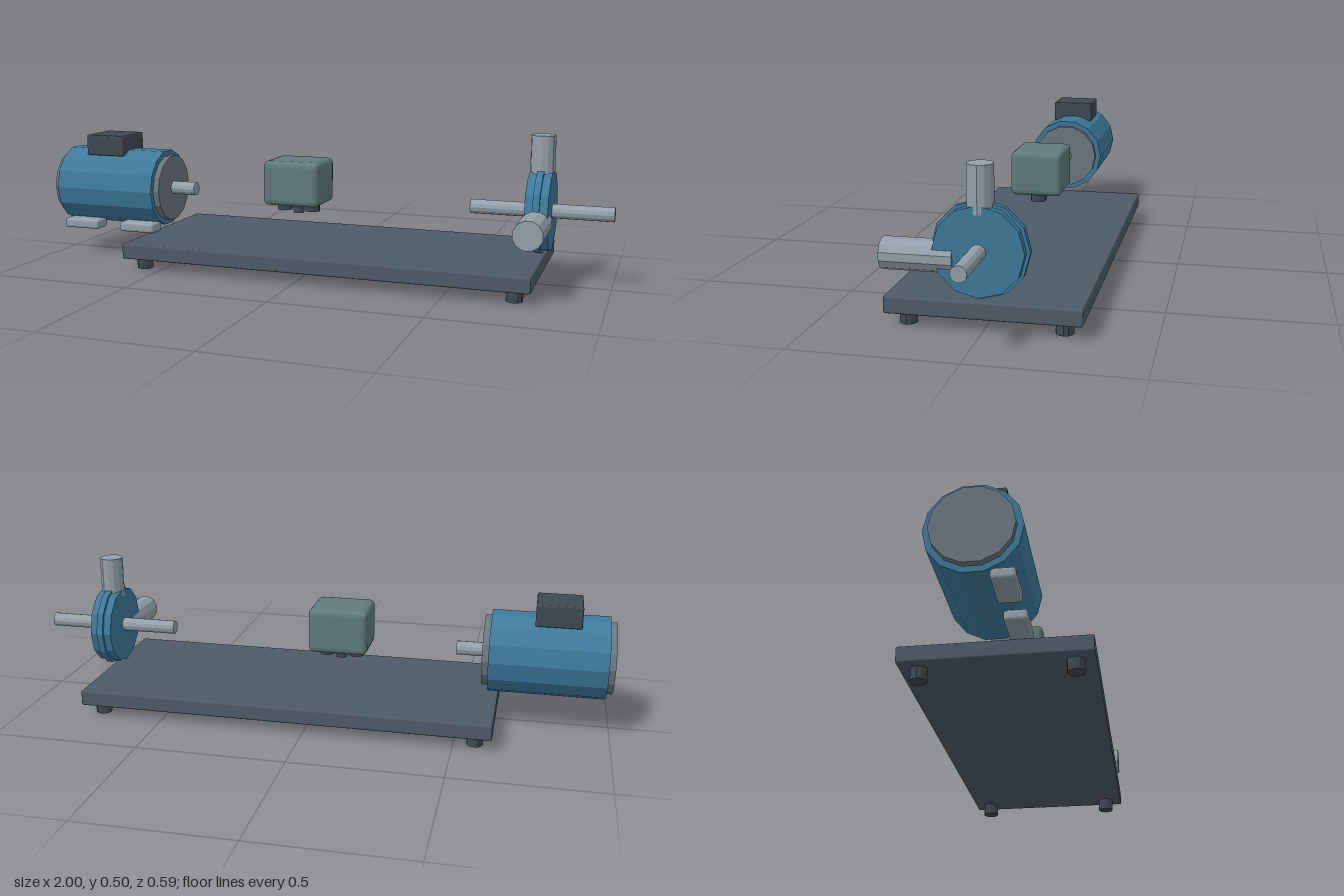
import * as THREE from 'three';
import { RoundedBoxGeometry } from 'three/addons/geometries/RoundedBoxGeometry.js';

const paint = (color) => new THREE.MeshStandardMaterial({ color, flatShading: true });
const BLUE = paint(0x3d7a9c), STEEL = paint(0x94a1ab), PLATE = paint(0x4e5b67);
const DARK = paint(0x3f4952), CAP = paint(0x6c7780), TEAL = paint(0x5f7b7d);
const AXIS_Y = 0.248;

export function createModel() {
  const model = new THREE.Group();

  const add = (parent, name, geometry, material, x, y, z) => {
    const mesh = new THREE.Mesh(geometry, material);
    mesh.name = name;
    mesh.position.set(x, y, z);
    parent.add(mesh);
    return mesh;
  };
  const group = (name) => {
    const g = new THREE.Group();
    g.name = name;
    model.add(g);
    return g;
  };
  // box given by its limits, with softened edges
  const box = (parent, name, material, [x0, x1], [y0, y1], [z0, z1], r) =>
    add(parent, name, new RoundedBoxGeometry(x1 - x0, y1 - y0, z1 - z0, 2, r), material,
      (x0 + x1) / 2, (y0 + y1) / 2, (z0 + z1) / 2);
  // cylinder lying along x on the common shaft line
  const axial = (parent, name, material, r, x0, x1, sides) =>
    add(parent, name, new THREE.CylinderGeometry(r, r, x1 - x0, sides).rotateZ(Math.PI / 2),
      material, (x0 + x1) / 2, AXIS_Y, 0);

  // base plate on four feet
  const base = group('base');
  box(base, 'basePlate', PLATE, [-0.627, 0.78], [0.04, 0.093], [-0.293, 0.293], 0.006);
  for (const x of [-0.57, 0.724])
    for (const z of [-0.233, 0.233])
      add(base, 'rubberFoot', new THREE.CylinderGeometry(0.027, 0.027, 0.042, 12), DARK, x, 0.021, z);

  // electric motor
  const motor = group('motor');
  axial(motor, 'motorBody', BLUE, 0.139, -0.979, -0.594, 14);
  axial(motor, 'rearCap', CAP, 0.12, -1, -0.977, 14);
  axial(motor, 'frontCap', CAP, 0.12, -0.596, -0.572, 14);
  axial(motor, 'motorShaft', STEEL, 0.024, -0.575, -0.48, 12);
  box(motor, 'terminalBox', DARK, [-0.887, -0.737], [0.364, 0.439], [-0.077, 0.077], 0.006);
  for (const x of [-0.97, -0.742])
    box(motor, 'motorFoot', STEEL, [x, x + 0.14], [0.093, 0.128], [0.045, 0.115], 0.01);

  // pump casing with joint flange, shaft and two ports
  const pump = group('pump');
  axial(pump, 'casing', BLUE, 0.134, 0.729, 0.803, 12);
  axial(pump, 'casingFlange', BLUE, 0.144, 0.755, 0.777, 12);
  axial(pump, 'pumpShaft', STEEL, 0.024, 0.535, 1, 12);
  add(pump, 'outletPipe', new THREE.CylinderGeometry(0.04, 0.04, 0.141, 12), STEEL, 0.766, 0.4255, 0);
  add(pump, 'inletPipe',
    new THREE.CylinderGeometry(0.048, 0.048, 0.215, 12, 1, false, Math.PI / 12).rotateX(Math.PI / 2),
    STEEL, 0.765, 0.221, 0.1825);

  // control box with cable glands underneath
  const control = group('controlBox');
  box(control, 'controlHousing', TEAL, [-0.182, 0.022], [0.221, 0.377], [-0.09, 0.09], 0.02);
  for (const [x, r, y0] of [[-0.132, 0.026, 0.195], [-0.08, 0.02, 0.187], [-0.028, 0.026, 0.195]])
    add(control, 'cableGland', new THREE.CylinderGeometry(r, r, 0.235 - y0, 12), DARK, x, (0.235 + y0) / 2, 0);

  return model;
}
